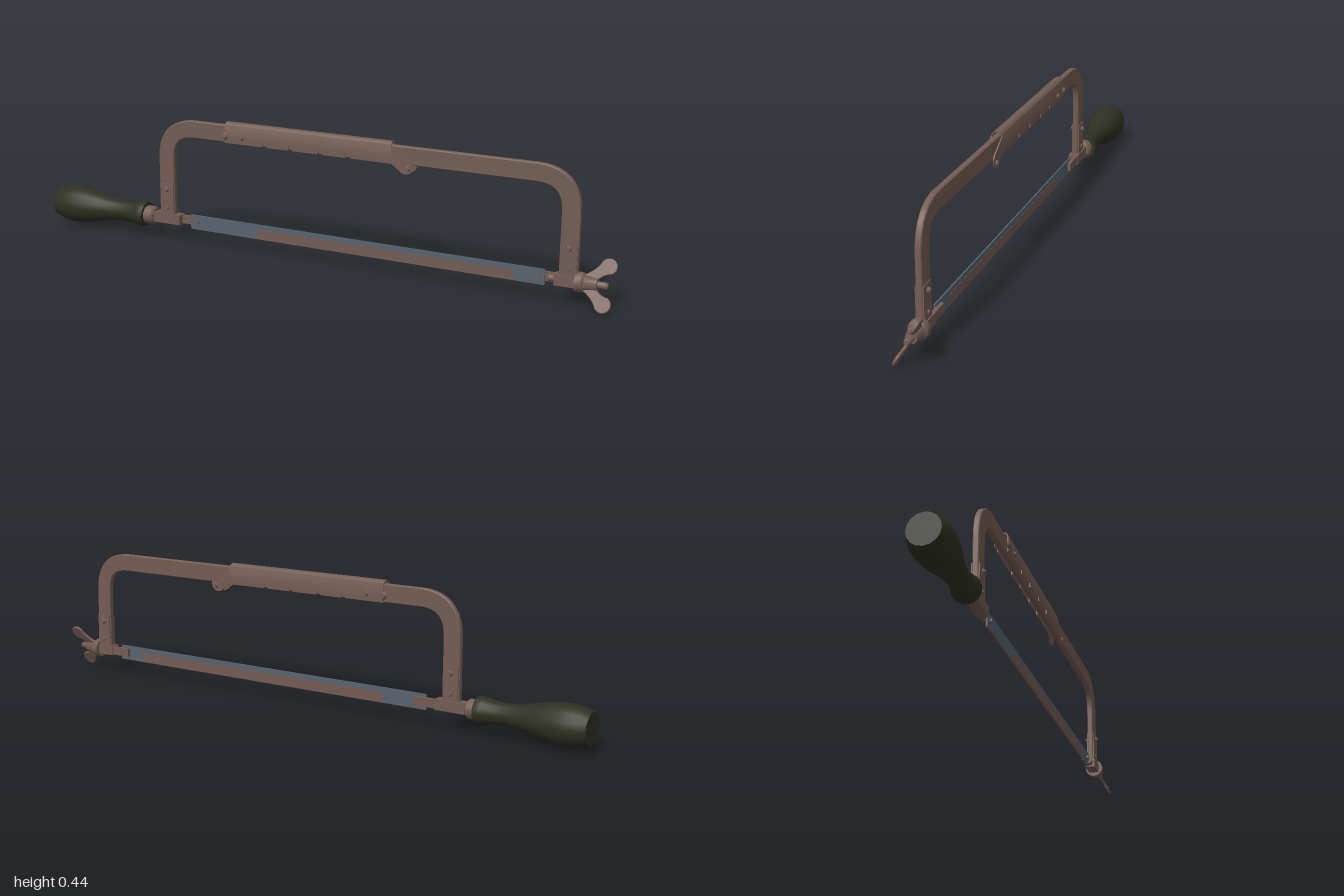
import * as THREE from 'three';
import { toCreasedNormals } from 'three/addons/utils/BufferGeometryUtils.js';

export function createModel() {
  const root = new THREE.Group();
  root.name = 'hacksaw';
  const mat = (name, color) => {
    const m = new THREE.MeshStandardMaterial({ color });
    m.name = name;
    return m;
  };
  const iron = mat('brown iron', 0x735c54);
  const steel = mat('blue steel', 0x566370);
  const grip = mat('dark green wood', 0x2d3021);
  const AXIS = 0.077; // height of the handle, blade and screw

  const add = (name, geo, material, x = 0, y = 0, z = 0, parent = root) => {
    const m = new THREE.Mesh(geo, material);
    m.name = name;
    m.position.set(x, y, z);
    parent.add(m);
    return m;
  };
  const box = (name, x0, x1, y0, y1, depth, material = iron, z = 0) =>
    add(name, new THREE.BoxGeometry(x1 - x0, y1 - y0, depth), material, (x0 + x1) / 2, (y0 + y1) / 2, z);
  // flat plate centred on z = 0
  const plate = (shape, depth, bevel = 0) => {
    const g = new THREE.ExtrudeGeometry(shape, {
      depth: depth - 2 * bevel, bevelEnabled: bevel > 0, bevelThickness: bevel,
      bevelSize: bevel, bevelOffset: -bevel, bevelSegments: 1, curveSegments: 10,
    });
    g.translate(0, 0, bevel - depth / 2);
    return toCreasedNormals(g, 0.6);
  };
  // turned part along x, profile given as [x, radius]
  const turned = (name, profile, material, sides = 16) => {
    const g = new THREE.LatheGeometry(profile.map(([x, r]) => new THREE.Vector2(r, x)), sides);
    g.rotateZ(-Math.PI / 2);
    return add(name, toCreasedNormals(g, 0.7), material, 0, AXIS, 0);
  };

  // handle, ferrule and collar
  const curve = new THREE.SplineCurve([
    [-1, 0.05], [-0.965, 0.061], [-0.92, 0.065], [-0.86, 0.058], [-0.79, 0.042],
    [-0.73, 0.035], [-0.68, 0.039], [-0.65, 0.046],
  ].map(p => new THREE.Vector2(...p)));
  turned('handle', [[-1, 0], ...curve.getPoints(18).map(p => [p.x, p.y]), [-0.635, 0.042], [-0.635, 0]], grip);
  turned('ferrule', [[-0.64, 0], [-0.64, 0.031], [-0.608, 0.031], [-0.6, 0.024], [-0.6, 0]], iron);

  // bent frame bar
  const L = -0.575, R = 0.89, T = 0.428, W = 0.058, B = 0.062, r = 0.14;
  const frame = new THREE.Shape();
  frame.moveTo(L, B);
  frame.lineTo(L, T - r);
  frame.bezierCurveTo(L, T - 0.045, L + 0.055, T, L + r, T);
  frame.lineTo(R - r, T);
  frame.bezierCurveTo(R - 0.055, T, R, T - 0.045, R, T - r);
  frame.lineTo(R, B);
  frame.lineTo(R - W, B);
  frame.lineTo(R - W, T - r);
  frame.bezierCurveTo(R - W, T - W - 0.025, R - W - 0.025, T - W, R - r, T - W);
  frame.lineTo(L + r, T - W);
  frame.bezierCurveTo(L + W + 0.025, T - W, L + W, T - W - 0.025, L + W, T - r);
  frame.lineTo(L + W, B);
  frame.closePath();
  add('frame', plate(frame, 0.02, 0.003), iron);

  // domed rivets through the bar
  const rivet = (x, y, half, rad = 0.01) => {
    for (const s of [-1, 1]) {
      const g = new THREE.CylinderGeometry(rad * 0.6, rad, 0.009, 10);
      g.rotateX(s * Math.PI / 2);
      add('rivet', g, iron, x, y, s * (half - 0.0045));
    }
  };

  // folded sleeve over the top bar
  const a = 0.0185, t = 0.004, low = 0.385;
  const channel = new THREE.Shape();
  channel.moveTo(a, low);
  channel.lineTo(a, 0.44 - a);
  channel.absarc(0, 0.44 - a, a, 0, Math.PI, false);
  channel.lineTo(-a, low);
  channel.lineTo(-a + t, low);
  channel.lineTo(-a + t, 0.44 - a);
  channel.absarc(0, 0.44 - a, a - t, Math.PI, 0, true);
  channel.lineTo(a - t, low);
  channel.closePath();
  const sleeve = plate(channel, 0.595);
  sleeve.rotateY(Math.PI / 2);
  add('sleeve', sleeve, iron, -0.0125);
  // lower sleeve edges, notched
  const tabs = [[-0.31, -0.17], [-0.155, -0.075], [-0.06, 0.03], [0.045, 0.13], [0.145, 0.285]];
  const ear = new THREE.Shape();
  ear.moveTo(0.284, 0.425);
  ear.lineTo(0.284, 0.372);
  ear.lineTo(0.315, 0.351);
  ear.absarc(0.334, 0.368, 0.026, -2.3, 0.8, false);
  ear.closePath();
  for (const s of [-1, 1]) {
    const z = s * (a - t / 2);
    for (const [x0, x1] of tabs) box('sleeveTab', x0, x1, 0.371, low, t, iron, z);
    add('sleeveEar', plate(ear, t), iron, 0, 0, z);
  }
  rivet(-0.31, 0.393, 0.026, 0.013);
  rivet(-0.247, 0.393, 0.026);
  rivet(0.342, 0.361, 0.026);

  // cheek plates and rivets at the feet of the frame
  for (const x of [L + W / 2, R - W / 2]) {
    box('cheek', x - 0.026, x + 0.026, 0.06, 0.2, 0.026);
    rivet(x, 0.18, 0.023);
    rivet(x, 0.115, 0.018, 0.008);
  }

  // blade holders with their slotted ends
  box('rearHolder', -0.605, -0.495, 0.06, 0.094, 0.034);
  box('rearTongue', -0.5, -0.42, 0.063, 0.091, 0.012, iron, -0.008);
  box('frontHolder', 0.82, 0.9, 0.06, 0.094, 0.034);
  box('frontTongue', 0.75, 0.825, 0.063, 0.091, 0.012, iron, -0.008);

  // blade with worn lower faces
  box('blade', -0.458, 0.788, 0.052, 0.1, 0.005, steel);
  box('wornFaceFront', -0.2, 0.69, 0.0515, 0.084, 0.001, iron, 0.0028);
  box('wornFaceBack', -0.3, 0.69, 0.0515, 0.084, 0.001, iron, -0.0028);
  box('toothedEdge', -0.458, 0.788, 0.05, 0.0525, 0.005, iron);
  for (const x of [-0.432, 0.768]) {
    const pin = new THREE.CylinderGeometry(0.008, 0.008, 0.022, 10);
    pin.rotateX(Math.PI / 2);
    add('bladePin', pin, iron, x, AXIS, -0.002);
  }

  // tension screw and wing nut
  turned('screw', [[0.8, 0], [0.8, 0.011], [0.975, 0.011], [0.982, 0.007], [0.982, 0]], iron, 12);
  turned('nutHub', [[0.885, 0], [0.885, 0.031], [0.905, 0.031], [0.912, 0.024], [0.95, 0.018], [0.95, 0]], iron);
  const wing = new THREE.Shape();
  wing.moveTo(0.905, 0.008);
  wing.lineTo(0.946, 0.008);
  wing.quadraticCurveTo(0.955, 0.028, 0.982, 0.035);
  wing.absarc(0.974, 0.058, 0.0255, -1.1, 2.9, false);
  wing.quadraticCurveTo(0.935, 0.04, 0.905, 0.024);
  wing.closePath();
  const wingNut = new THREE.Group();
  wingNut.name = 'wingNut';
  wingNut.position.y = AXIS;
  wingNut.rotation.x = -0.5;
  root.add(wingNut);
  for (const turn of [0, Math.PI]) {
    add('wing', plate(wing, 0.009, 0.002), iron, 0, 0, 0, wingNut).rotation.x = turn;
  }
  return root;
}
